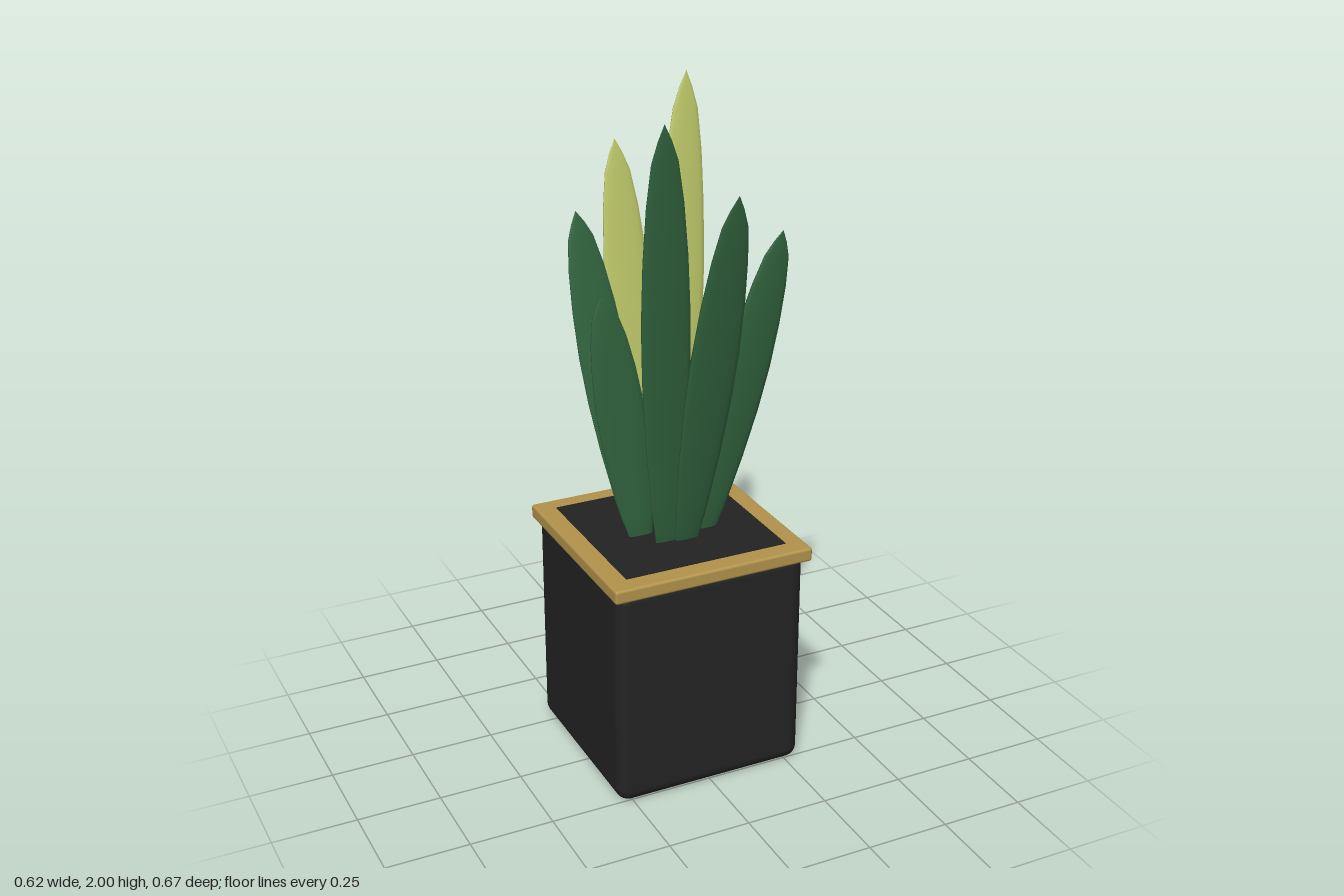
import * as THREE from 'three';
import { RoundedBoxGeometry } from 'three/addons/geometries/RoundedBoxGeometry.js';

const mat = (name, color) => {
  const m = new THREE.MeshStandardMaterial({ color });
  m.name = name;
  return m;
};

export function createModel() {
  const model = new THREE.Group();
  model.name = 'pottedPlant';
  const charcoal = mat('charcoal', 0x232323);
  const wood = mat('ochre wood', 0xb3934b);
  const green = mat('leaf green', 0x32653f);
  const lime = mat('leaf yellow green', 0xbdc768);
  const potZ = -0.025;

  const add = (name, geometry, material, y, z) => {
    const mesh = new THREE.Mesh(geometry, material);
    mesh.name = name;
    mesh.position.set(0, y, z);
    model.add(mesh);
    return mesh;
  };

  // Square pot, flat rim and inset soil
  add('pot', new RoundedBoxGeometry(0.59, 0.69, 0.59, 4, 0.04), charcoal, 0.345, potZ);
  add('rim', new RoundedBoxGeometry(0.618, 0.042, 0.618, 2, 0.008), wood, 0.69, potZ);
  add('soil', new THREE.BoxGeometry(0.503, 0.006, 0.503), charcoal, 0.71, potZ);

  // Blade of unit height: [half width, height], flattened in z when placed
  const profile = [
    [0, 0], [0.034, 0.001], [0.05, 0.12], [0.064, 0.27], [0.073, 0.43], [0.074, 0.57],
    [0.067, 0.71], [0.055, 0.83], [0.039, 0.92], [0.02, 0.965], [0, 1],
  ].map(([x, y]) => new THREE.Vector2(x, y));
  const blade = new THREE.LatheGeometry(profile, 14);

  // Leaves: base x, base z, tip x, tip y, tip z
  const leaves = [
    ['frontLeftLeaf', green, -0.045, 0.06, -0.15, 1.99, 0.265],
    ['frontLeaf', green, 0.01, 0.07, 0.03, 1.8, 0.332],
    ['frontRightLeaf', green, 0.085, 0.03, 0.265, 1.625, 0.145],
    ['sideRightLeaf', green, 0.095, -0.057, 0.25, 1.46, -0.118],
    ['sideLeftLeaf', green, -0.095, -0.004, -0.22, 1.465, 0.012],
    ['backLeftLeaf', green, -0.075, -0.09, -0.2, 1.645, -0.203],
    ['backLeaf', lime, -0.022, -0.112, -0.062, 1.825, -0.242],
    ['backRightLeaf', lime, 0.055, -0.1, 0.15, 2.0, -0.222],
    ['innerRightLeaf', lime, 0.088, -0.026, 0.165, 1.47, -0.026],
  ];
  const baseY = 0.69;
  for (const [name, material, bx, bz, tx, ty, tz] of leaves) {
    const dir = new THREE.Vector3(tx - bx, ty - baseY, tz - bz);
    const length = dir.length();
    const leaf = add(name, blade, material, baseY, bz);
    leaf.position.x = bx;
    leaf.scale.set(1, length, 0.16);
    // Lean forward or back, then sideways within the leaf's own plane
    leaf.rotation.set(Math.atan2(dir.z, dir.y), 0, -Math.asin(dir.x / length));
  }
  return model;
}
